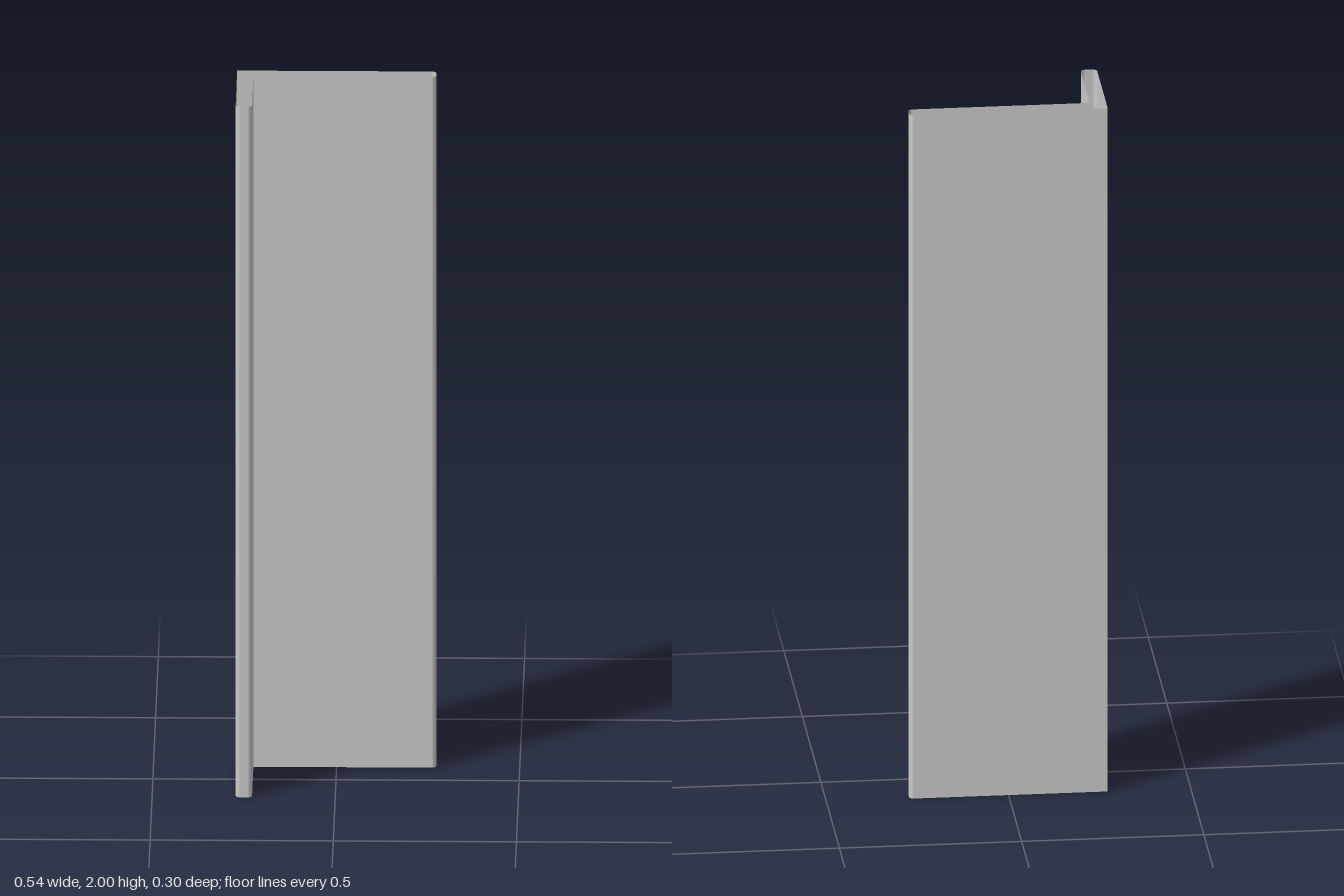
import * as THREE from 'three';

const HEIGHT = 2;
const W = 0.272;      // half width of the wide flange
const D = 0.148;      // half depth of the short flange
const T = 0.045;      // flange thickness
const R = 0.013;      // rounding of the flange ends

// Open-ended wall raised from right-angled corners [x, z, radius]
function hollowWall(corners, height, arcSteps = 5) {
  const n = corners.length;
  const edgeNormal = (i) => {
    const [ax, az] = corners[i % n], [bx, bz] = corners[(i + 1) % n];
    return new THREE.Vector2(bz - az, ax - bx).normalize();
  };
  const position = [], normal = [], index = [];
  corners.forEach(([x, z, r], i) => {
    const nA = edgeNormal(i + n - 1), nB = edgeNormal(i);
    const steps = r > 0 ? arcSteps : 1;
    for (let s = 0; s <= steps; s++) {
      const t = (s / steps) * Math.PI / 2, c = Math.cos(t), k = Math.sin(t);
      const nx = nA.x * c + nB.x * k, nz = nA.y * c + nB.y * k;
      const px = x + r * (nx - nA.x - nB.x), pz = z + r * (nz - nA.y - nB.y);
      position.push(px, 0, pz, px, height, pz);
      normal.push(nx, 0, nz, nx, 0, nz);
    }
  });
  const count = position.length / 6;
  for (let i = 0; i < count; i++) {
    const a = i * 2, b = ((i + 1) % count) * 2;
    index.push(a, a + 1, b, b, a + 1, b + 1);
  }
  const g = new THREE.BufferGeometry();
  g.setAttribute('position', new THREE.Float32BufferAttribute(position, 3));
  g.setAttribute('normal', new THREE.Float32BufferAttribute(normal, 3));
  g.setIndex(index);
  return g;
}

export function createModel() {
  const group = new THREE.Group();
  group.name = 'cornerProfile';

  // L-shaped section: sharp heel and inner corner, rounded flange ends
  const section = [
    [-W, -D, 0], [W, -D, R], [W, -D + T, R],
    [-W + T, -D + T, 0], [-W + T, D, R], [-W, D, R],
  ];
  const wall = new THREE.Mesh(
    hollowWall(section, HEIGHT),
    new THREE.MeshStandardMaterial({ color: 0xcccccc, side: THREE.DoubleSide }),
  );
  wall.name = 'angleWall';
  group.add(wall);
  return group;
}
